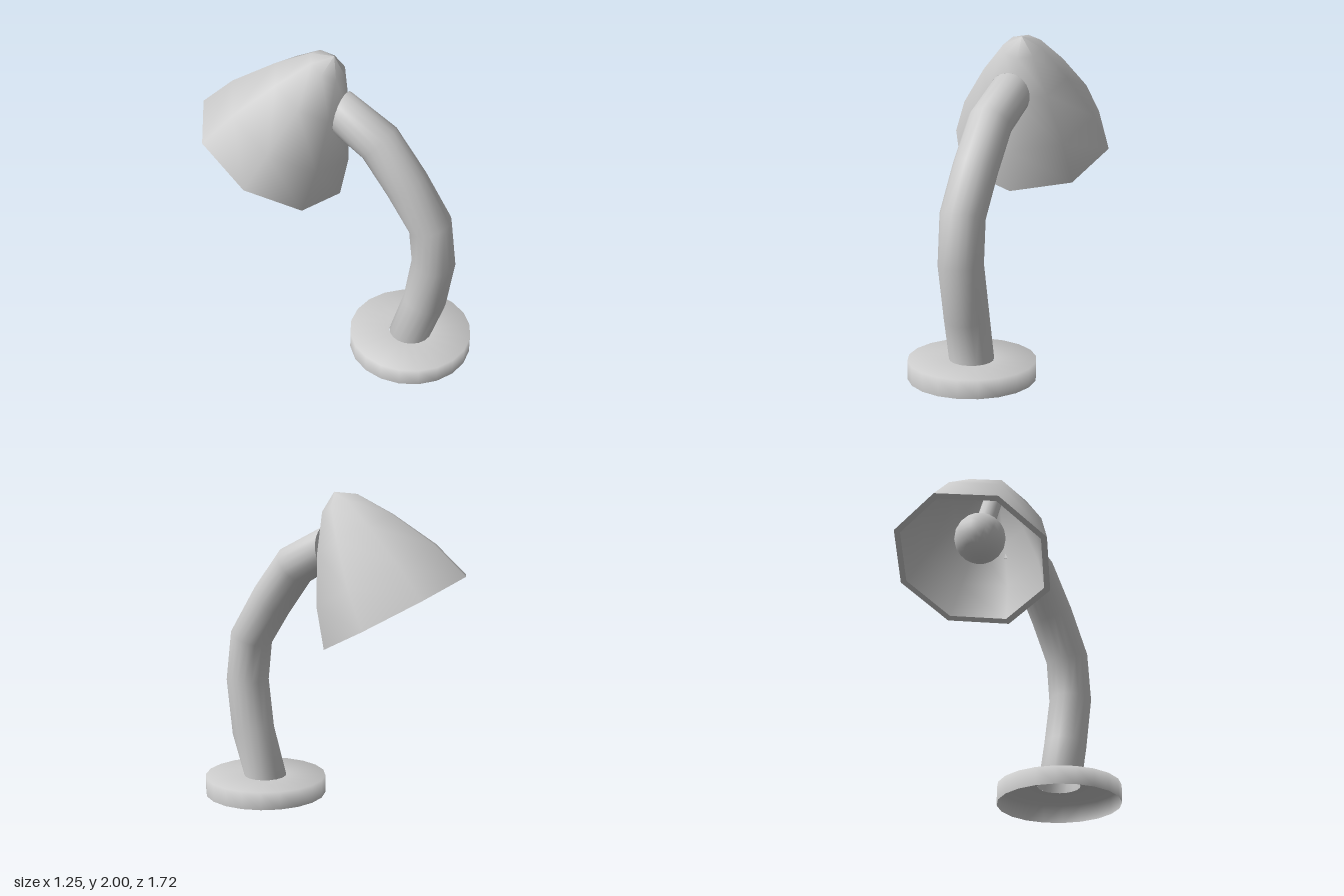
import * as THREE from 'three';

const material = new THREE.MeshStandardMaterial({ color: 0xcccccc, side: THREE.DoubleSide });

function part(name, geometry) {
  const mesh = new THREE.Mesh(geometry, material);
  mesh.name = name;
  return mesh;
}

const lathe = (points, sides) =>
  new THREE.LatheGeometry(points.map(([r, y]) => new THREE.Vector2(r, y)), sides);

// Bent tube with one ring per path point, level at the foot and facing the shade at the tip
function armGeometry() {
  const path = new THREE.CatmullRomCurve3([
    [0.235, 0.115, 0.47], [0.277, 0.405, 0.545], [0.285, 0.735, 0.595], [0.27, 1.02, 0.565],
    [0.21, 1.275, 0.41], [0.145, 1.515, 0.235], [0.06, 1.65, 0],
  ].map((p) => new THREE.Vector3(...p)));
  const foot = new THREE.Vector3(0, 1, 0);
  const tip = new THREE.Vector3(-0.38, 0.1, -0.92).normalize();
  path.getPointAt = (u, target) => path.getPoint(u, target);
  path.getTangentAt = (u, target = new THREE.Vector3()) =>
    u === 0 ? target.copy(foot) : u === 1 ? target.copy(tip) : path.getTangent(u, target);
  return new THREE.TubeGeometry(path, 6, 0.136, 18);
}

// Eight-sided shade with an inner shell, a rim and a bulb; local y is the shade's axis
function createLampHead() {
  const head = new THREE.Group();
  head.name = 'lampHead';
  const outer = [[0.51, 0], [0.427, 0.25], [0.27, 0.53], [0.125, 0.735], [0, 0.81]];
  const inner = [[0, 0.76], [0.1, 0.7], [0.24, 0.51], [0.39, 0.24], [0.47, 0]];
  head.add(
    part('shade', lathe(outer, 8)),
    part('shadeLining', lathe(inner, 8)),
    part('shadeRim', lathe([[0.47, 0], [0.51, 0]], 8)),
  );

  const bulb = part('bulb', new THREE.SphereGeometry(0.16, 20, 14));
  bulb.position.y = 0.24;
  const socket = part('bulbSocket', new THREE.CylinderGeometry(0.06, 0.06, 0.36, 12));
  socket.position.y = 0.55;
  head.add(bulb, socket);

  // Tilt: y along the axis, z toward one corner of the rim
  const axis = new THREE.Vector3(0.295, 0.875, 0.385).normalize();
  const side = axis.clone().cross(new THREE.Vector3(0.155, 0.15, -0.46)).normalize();
  const corner = side.clone().cross(axis);
  head.quaternion.setFromRotationMatrix(new THREE.Matrix4().makeBasis(side, axis, corner));
  head.position.set(-0.166, 1.29, -0.403);
  return head;
}

export function createModel() {
  const lamp = new THREE.Group();
  lamp.name = 'deskLamp';

  // Hollow foot, open underneath
  const base = part('base', lathe([[0.39, 0], [0.39, 0.115], [0.134, 0.115]], 20));
  base.position.set(0.235, 0, 0.467);

  // Disc closing the tip of the arm
  const tipCap = part('armTip', new THREE.CircleGeometry(0.136, 18));
  tipCap.position.set(0.06, 1.65, 0);
  tipCap.lookAt(0.06 - 0.38, 1.65 + 0.1, -0.92);

  lamp.add(base, part('arm', armGeometry()), tipCap, createLampHead());
  return lamp;
}
